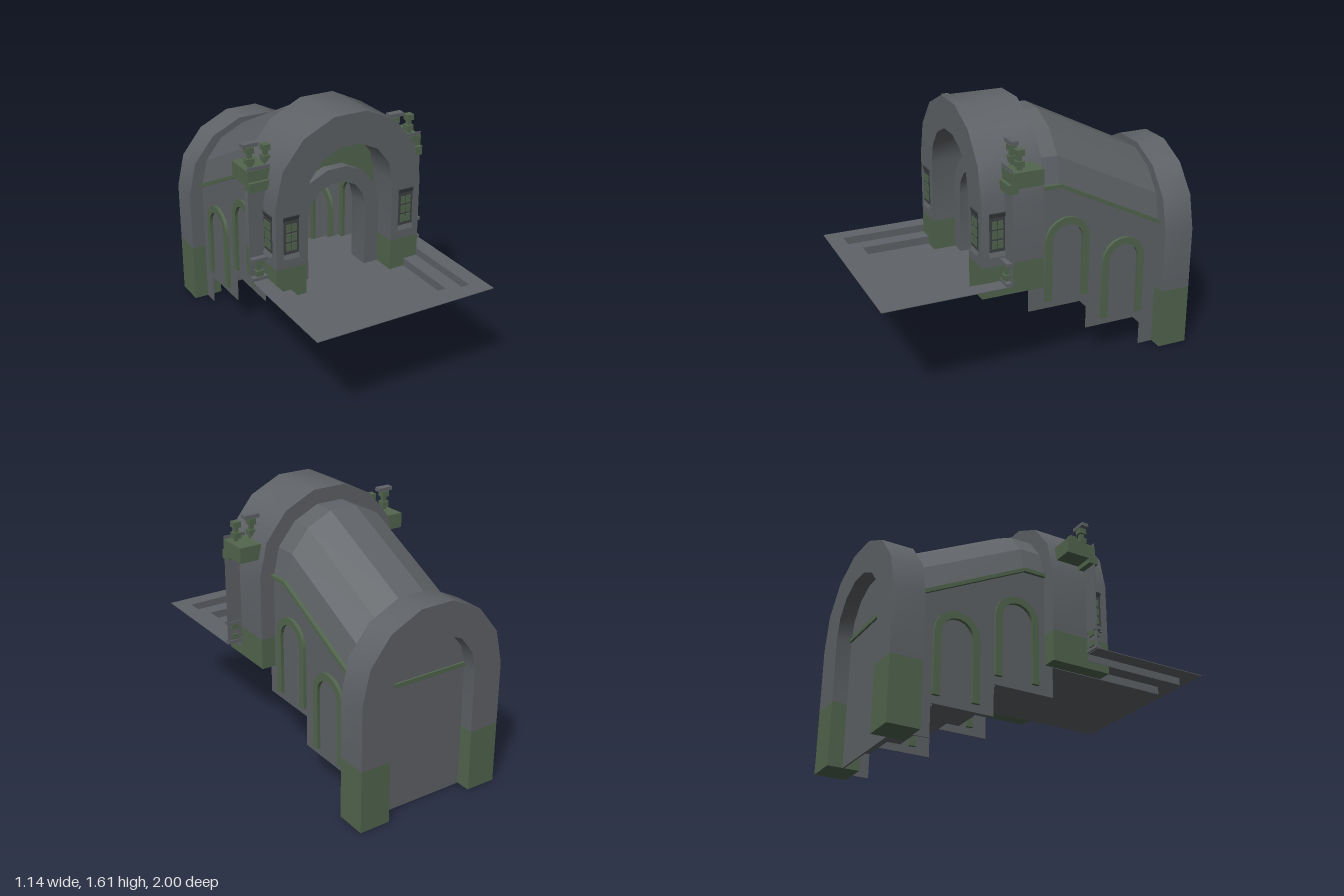
import * as THREE from 'three';
import { toCreasedNormals } from 'three/addons/utils/BufferGeometryUtils.js';

const mat = (name, color) => {
  const m = new THREE.MeshStandardMaterial({ color, side: THREE.DoubleSide });
  m.name = name;
  return m;
};

export function createModel() {
  const stone = mat('grey stone', 0x5f6367);
  const moss = mat('mossy green', 0x52664e);
  const dark = mat('dark grey', 0x3e4144);
  const model = new THREE.Group();
  model.name = 'tunnelEntrance';

  const add = (name, geo, m, x = 0, y = 0, z = 0, parent = model) => {
    const mesh = new THREE.Mesh(geo, m);
    mesh.name = name;
    mesh.position.set(x, y, z);
    parent.add(mesh);
    return mesh;
  };
  // Box given by its minimum and maximum on each axis
  const box = (name, m, x0, x1, y0, y1, z0, z1, parent = model) =>
    add(name, new THREE.BoxGeometry(x1 - x0, y1 - y0, z1 - z0), m,
      (x0 + x1) / 2, (y0 + y1) / 2, (z0 + z1) / 2, parent);

  // Outline of a round-headed opening: straight legs and a faceted half circle
  const archPoints = (r, spring, base, n = 7) => {
    const pts = [[r, base]];
    for (let i = 0; i <= n; i++) {
      const a = (Math.PI * i) / n;
      pts.push([r * Math.cos(a), spring + r * Math.sin(a)]);
    }
    pts.push([-r, base]);
    return pts;
  };
  const shapeOf = (pts) => new THREE.Shape(pts.map(([x, y]) => new THREE.Vector2(x, y)));
  const extrude = (shape, depth) =>
    new THREE.ExtrudeGeometry(shape, { depth, bevelEnabled: false });
  const archBand = (ro, ri, spring, base, depth, n = 7) =>
    toCreasedNormals(extrude(shapeOf([
      ...archPoints(ro, spring, base, n), ...archPoints(ri, spring, base, n).reverse(),
    ]), depth), 0.6);
  // Shape drawn in (z, y), extruded along x and centred on it
  const sideways = (shape, depth) => extrude(shape, depth).translate(0, 0, -depth / 2).rotateY(-Math.PI / 2);

  // Portals: mossy feet below, stone arch above
  const portal = (name, base, mossTop, spring, z, depth) => {
    add(name, archBand(0.475, 0.285, spring, mossTop, depth), stone, 0, 0, z);
    for (const s of [-1, 1]) {
      const foot = box(name + 'Foot', moss, 0.285, 0.475, base, mossTop, z, z + depth);
      foot.position.x *= s;
    }
  };
  portal('frontArch', 0.575, 0.765, 1.147, 0, 0.38);
  portal('backArch', 0, 0.38, 0.765, -1, 0.19);

  // Inner doorway with the mossy panel over it
  add('innerArch', archBand(0.285, 0.193, 0.96, 0.575, 0.145), stone, 0, 0, 0.095);
  add('archPanel', extrude(shapeOf([
    ...archPoints(0.286, 1.147, 0.96), ...archPoints(0.28, 0.955, 0.96).slice(1, -1).reverse(),
  ]), 0.02), moss, 0, 0, 0.16);

  // Closed rear opening with a rail
  add('backWall', extrude(shapeOf(archPoints(0.286, 0.765, 0)), 0.01), stone, 0, 0, -0.91);
  box('backRail', moss, -0.285, 0.285, 0.765, 0.79, -0.922, -0.888);

  // Sloping vault
  const sections = [[0.02, 1.147], [-0.14, 1.147], [-0.82, 0.81]];
  const pos = [];
  for (let j = 0; j < 2; j++) {
    const ring = (k) => archPoints(0.385, sections[k][1], 0).slice(1, -1)
      .map(([x, y]) => [x, y, sections[k][0]]);
    const a = ring(j), b = ring(j + 1);
    for (let i = 0; i < 7; i++) {
      pos.push(...a[i], ...b[i + 1], ...a[i + 1], ...a[i], ...b[i], ...b[i + 1]);
    }
  }
  const vault = new THREE.BufferGeometry();
  vault.setAttribute('position', new THREE.Float32BufferAttribute(pos, 3));
  vault.computeVertexNormals();
  add('vault', vault, stone);

  // Side walls with stepped feet, arch trims and a sloping rail
  const wall = shapeOf([[0.05, 0.385], [0.05, 1.147], [-0.14, 1.147], [-0.82, 0.81], [-0.82, 0],
    [-0.715, 0], [-0.715, 0.195], [-0.335, 0.195], [-0.335, 0.385]]);
  const rail = shapeOf([[0, 1.137], [0, 1.16], [-0.14, 1.16], [-0.815, 0.825], [-0.815, 0.8], [-0.14, 1.137]]);
  for (const s of [-1, 1]) {
    add('sideWall', sideways(wall, 0.006), stone, s * 0.382);
    add('sideRail', sideways(rail, 0.04), moss, s * 0.385);
    for (const [z, base] of [[-0.192, 0.435], [-0.572, 0.24]]) {
      const trim = archBand(0.142, 0.098, base + 0.375, base, 0.045, 9)
        .translate(0, 0, -0.0225).rotateY(-Math.PI / 2);
      add('archTrim', trim, moss, s * 0.382, 0, z);
    }
  }

  // Stairs going down to the back
  const treads = [0.05, -0.14, -0.335, -0.525, -0.715, -0.905];
  for (let k = 0; k < 5; k++) {
    const top = 0.575 - 0.0957 * k;
    box('stairTread', stone, -0.38, 0.38, top - 0.0475, top, treads[k + 1], treads[k]);
    if (k < 4) {
      box('stairRiser', stone, -0.365, 0.365, top - 0.1, top - 0.0475, treads[k + 1], treads[k + 1] + 0.02);
    }
  }

  // Sunken forecourt: thin ledges stepping down to a floor
  const ledge = (name, xo, zo, xi, zi, y) => {
    const shape = shapeOf([[-xo, 0.24], [-xo, zo], [xo, zo], [xo, 0.24],
      [xi, 0.24], [xi, zi], [-xi, zi], [-xi, 0.24]]);
    add(name, extrude(shape, 0.004).rotateX(Math.PI / 2), stone, 0, y);
  };
  const rim = (x, z, y0, y1) => {
    box('forecourtRiser', stone, -x, x, y0, y1, z - 0.003, z);
    for (const s of [-1, 1]) box('forecourtRiser', stone, s * x - 0.0015, s * x + 0.0015, y0, y1, 0.24, z);
  };
  ledge('forecourtEdge', 0.57, 1, 0.475, 0.905, 0.67);
  rim(0.475, 0.905, 0.622, 0.67);
  ledge('forecourtStep', 0.475, 0.905, 0.385, 0.81, 0.624);
  rim(0.385, 0.81, 0.573, 0.624);
  box('forecourtFloor', stone, -0.385, 0.385, 0.571, 0.575, 0.05, 0.81);

  // Niche window: sloped hood and sill around a grid of panes, facing +z
  const makeWindow = () => {
    const g = new THREE.Group();
    g.name = 'window';
    box('windowBacking', dark, -0.048, 0.048, -0.13, 0.13, 0, 0.003, g);
    const wedge = (pts) => sideways(shapeOf(pts), 0.098);
    add('windowHood', wedge([[0, 0.13], [0.012, 0.13], [0, 0.095]]), dark, 0, 0, 0, g);
    add('windowSill', wedge([[0, -0.13], [0.012, -0.13], [0, -0.092]]), stone, 0, 0, 0, g);
    for (const x of [-0.018, 0.018]) {
      for (const y of [-0.057, 0.001, 0.059]) {
        box('windowPane', moss, x - 0.015, x + 0.015, y - 0.023, y + 0.023, 0.002, 0.008, g);
      }
    }
    return g;
  };

  // Spool-shaped fitting, standing on y = 0
  const spool = (parent, x, y, z) => {
    const parts = [[0.045, 0, 0.035], [0.024, 0.035, 0.065], [0.045, 0.065, 0.1]];
    for (const [w, y0, y1] of parts) {
      box('spool', moss, x - w / 2, x + w / 2, y + y0, y + y1, z - w / 2, z + w / 2, parent);
    }
  };

  for (const s of [-1, 1]) {
    const front = makeWindow();
    front.position.set(s * 0.38, 0.955, 0.379);
    const side = makeWindow();
    side.position.set(s * 0.474, 0.955, 0.287);
    side.rotation.y = (s * Math.PI) / 2;
    model.add(front, side);

    // Wing panel beside the portal
    box('wingPanel', stone, s * 0.5 - 0.07, s * 0.5 + 0.07, 0.67, 1.355, 0.236, 0.24);

    // Stepped bracket
    const b = new THREE.Group();
    b.name = 'bracket';
    model.add(b);
    const across = (m, w, y0, y1, z0, z1) =>
      box('bracketBlock', m, s * (0.57 - w / 2) - w / 2, s * (0.57 - w / 2) + w / 2, y0, y1, z0, z1, b);
    across(moss, 0.14, 1.243, 1.335, 0.05, 0.243);
    across(moss, 0.13, 1.215, 1.27, 0.2, 0.262);

    // Upper fittings, one with a flat cap
    spool(b, s * 0.475 - 0.052, 1.352, 0.178);
    spool(b, s * 0.475 + 0.048, 1.352, 0.178);
    const capX = s * 0.475 - 0.05;
    box('spoolStem', moss, capX - 0.012, capX + 0.012, 1.335, 1.455, 0.166, 0.19, b);
    box('spoolStem', moss, capX + 0.088, capX + 0.112, 1.335, 1.36, 0.166, 0.19, b);
    box('spoolCap', stone, capX - 0.048, capX + 0.048, 1.455, 1.477, 0.155, 0.2, b);

    // Lower fitting between two plates
    spool(model, s * 0.522, 0.695, 0.25);
    for (const y of [0.67, 0.79]) {
      box('spoolPlate', stone, s * 0.522 - 0.047, s * 0.522 + 0.047, y, y + 0.02, 0.23, 0.272);
    }
  }
  return model;
}
